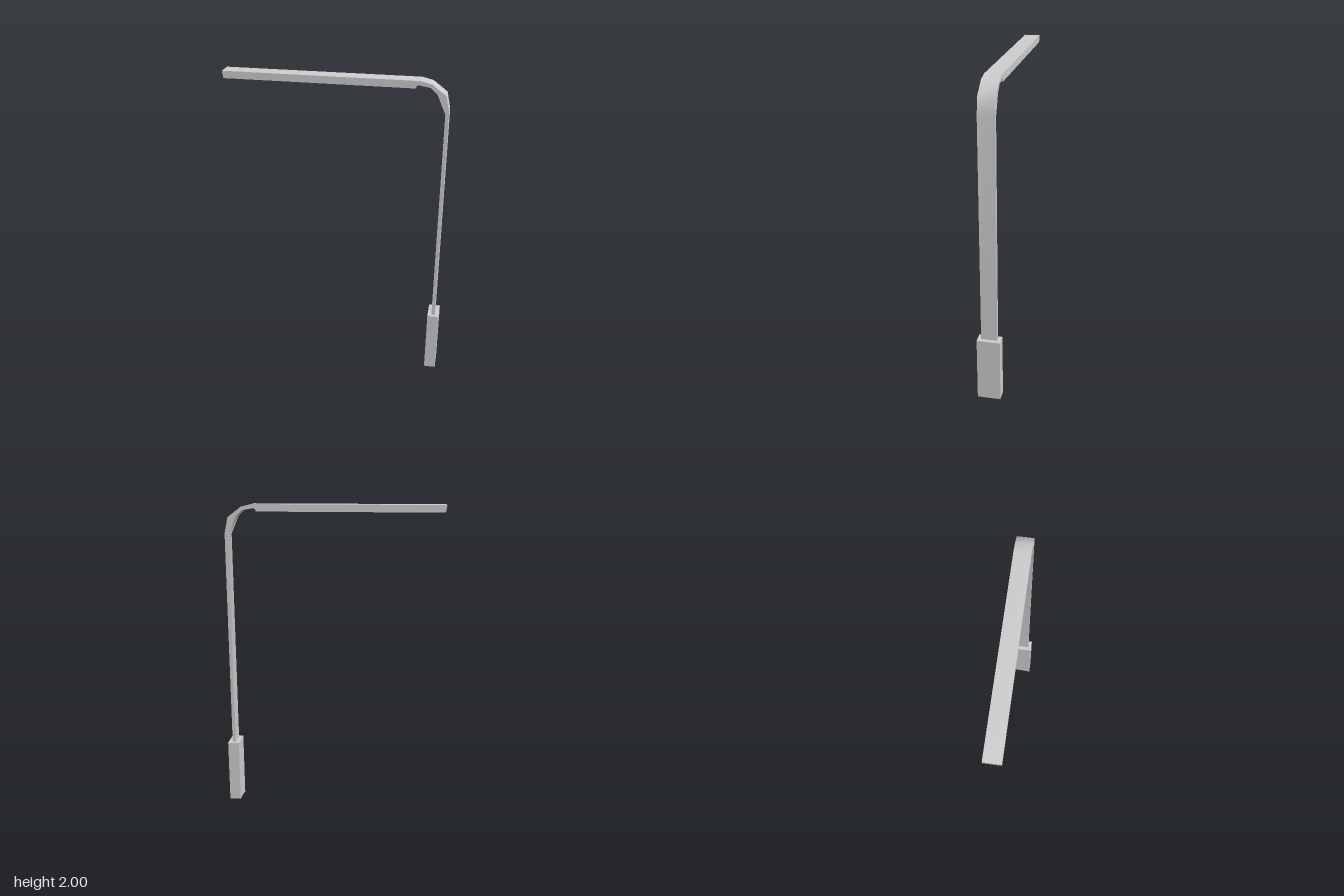
import * as THREE from 'three';
import { toCreasedNormals } from 'three/addons/utils/BufferGeometryUtils.js';

export function createModel() {
  const model = new THREE.Group();
  const grey = new THREE.MeshStandardMaterial({ color: 0xcccccc, side: THREE.DoubleSide });
  grey.name = 'lightGrey';

  const shapeOf = (points) => new THREE.Shape(points.map(([x, y]) => new THREE.Vector2(x, y)));
  const add = (name, geometry) => {
    const mesh = new THREE.Mesh(geometry, grey);
    mesh.name = name;
    model.add(mesh);
    return mesh;
  };

  // Flat bar: lamp head, bend and pole as one side profile
  const profile = shapeOf([
    [-0.7, 2], [-0.693, 1.955], [0.473, 1.955], [0.475, 1.967], [0.487, 1.975],
    [0.56, 1.963], [0.6, 1.925], [0.652, 1.81], [0.652, 0.425],
    [0.674, 0.425], [0.674, 1.82], [0.652, 1.92], [0.567, 1.984], [0.5, 2],
  ]);
  const bar = new THREE.ExtrudeGeometry(profile, { depth: 0.1, bevelEnabled: false });
  bar.translate(0, 0, -0.05);
  add('lampArmAndPole', toCreasedNormals(bar, THREE.MathUtils.degToRad(48)));

  // Hollow base, open at the bottom
  const [x0, x1, d, low, high] = [0.627, 0.7, 0.072, 0.015, 0.425];
  const w = x1 - x0, h = high - low, cx = (x0 + x1) / 2, cy = (low + high) / 2;
  const top = add('baseTop', new THREE.PlaneGeometry(w, d * 2));
  top.rotation.x = -Math.PI / 2;
  top.position.set(cx, high, 0);
  for (const side of [1, -1]) {
    const wall = add(side > 0 ? 'baseFrontWall' : 'baseBackWall', new THREE.PlaneGeometry(w, h));
    wall.rotation.y = side > 0 ? 0 : Math.PI;
    wall.position.set(cx, cy, side * d);
  }
  const outer = add('baseOuterWall', new THREE.PlaneGeometry(d * 2, h));
  outer.rotation.y = Math.PI / 2;
  outer.position.set(x1, cy, 0);

  // Inner wall reaches the ground at its front corner
  const inner = add('baseInnerWall', new THREE.ShapeGeometry(
    shapeOf([[-d, low], [0, low], [d, 0], [d, high], [-d, high]])));
  inner.rotation.y = -Math.PI / 2;
  inner.position.x = x0;

  return model;
}
